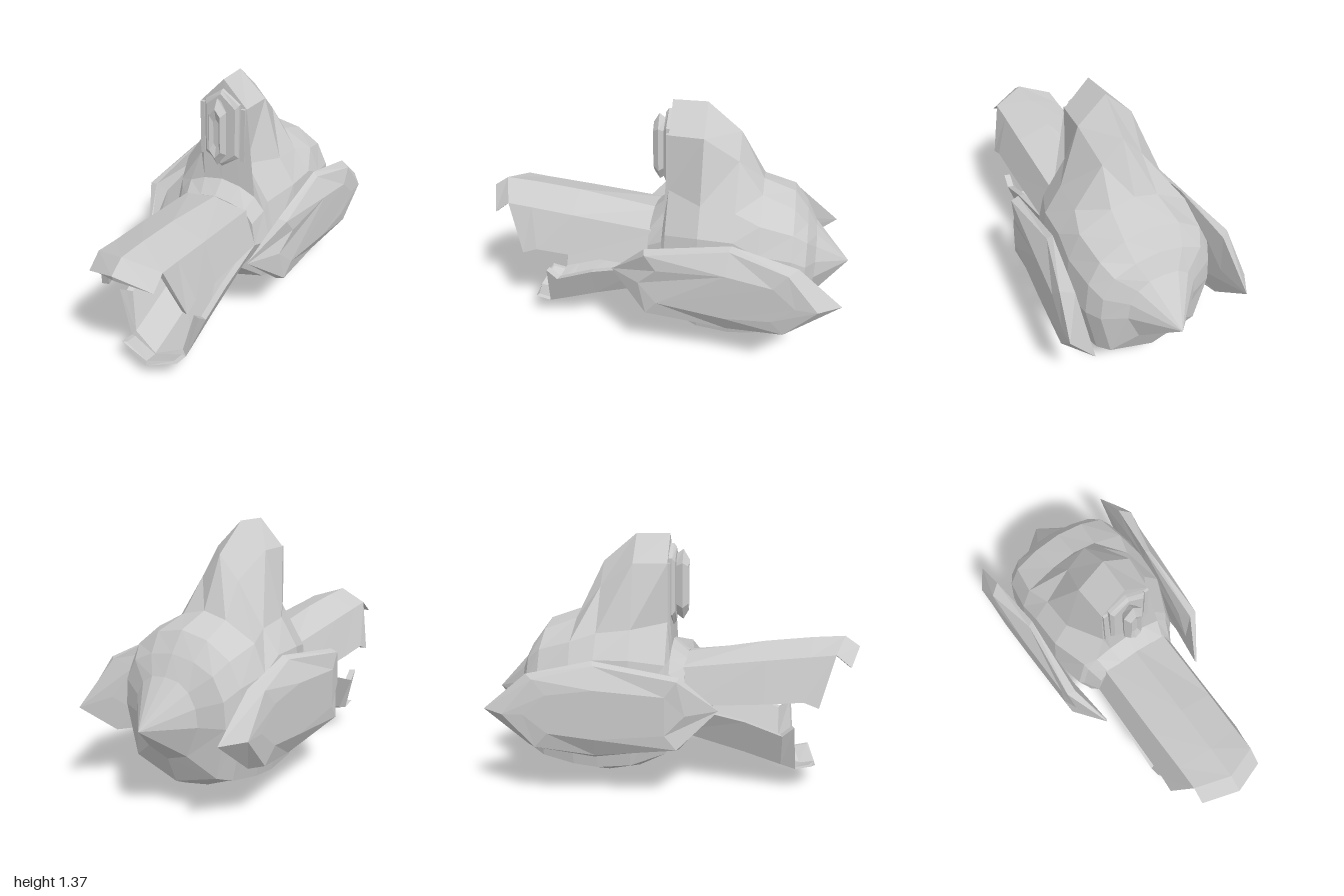
import * as THREE from 'three';

const material = new THREE.MeshStandardMaterial({ color: 0xcccccc, flatShading: true, side: THREE.DoubleSide });

function addMesh(parent, geometry, name) {
  const mesh = new THREE.Mesh(geometry, material);
  mesh.name = name;
  parent.add(mesh);
  return mesh;
}

// Skin between equal rings of [x, y, z], listed front to back, counter-clockwise from the front
function loft(rings) {
  const n = rings[0].length;
  const index = [];
  const quad = (a, b, c, d) => index.push(a, b, c, a, c, d);
  for (let i = 0; i < rings.length - 1; i++) {
    for (let j = 0; j < n; j++) {
      const k = (j + 1) % n;
      quad(i * n + j, (i + 1) * n + j, (i + 1) * n + k, i * n + k);
    }
  }
  const last = (rings.length - 1) * n;
  for (let j = 0; j < n / 2 - 1; j++) {
    quad(j, j + 1, n - 2 - j, n - 1 - j);
    quad(last + j, last + n - 1 - j, last + n - 2 - j, last + j + 1);
  }
  const geometry = new THREE.BufferGeometry();
  geometry.setAttribute('position', new THREE.Float32BufferAttribute(rings.flat(2), 3));
  geometry.setIndex(index);
  geometry.computeVertexNormals();
  return geometry;
}

// Body section: keel, low edge, flank, upper flank, shoulder, tower edge, crown
function section(z, keel, low, side, up, shoulder, edge, crown) {
  const half = [low, [side, 0.49], up, shoulder, edge];
  return [
    [0, keel, z],
    ...half.map(([x, y]) => [x, y, z]),
    [0, crown, z],
    ...half.map(([x, y]) => [-x, y, z]).reverse(),
  ];
}

// Thick channel from half rows (centre to rim); up = 1 opens downward, -1 opens upward
function shell(rows, up, thickness) {
  return loft(rows.map((row) => {
    const right = row.map(([x, y, z]) => [up * x, y, z]).reverse();
    const left = row.slice(1).map(([x, y, z]) => [-up * x, y, z]);
    const outer = [...right, ...left];
    const inner = outer.map(([x, y, z], i) => {
      const rim = i === 0 || i === outer.length - 1;
      return [x * 0.86, y - (rim ? 0 : up * thickness), z - 0.01];
    }).reverse();
    return [...outer, ...inner];
  }));
}

// Tall pointed hexagon around y = 1.1
function hexagon(w, shoulder, tip, z) {
  return [[0, -tip], [w, -shoulder], [w, shoulder], [0, tip], [-w, shoulder], [-w, -shoulder]]
    .map(([x, y]) => [x, 1.1 + y, z]);
}

// Closed eight-point loop for a side plate from its lower half [z, y, x]
function plateLoop(points) {
  const lower = points.map(([z, y, x]) => [x, y, z]);
  const upper = points.slice(1, -1).map(([z, y, x]) => [x, 1.005 - y, z]).reverse();
  return [...lower, ...upper];
}

export function createModel() {
  const model = new THREE.Group();
  const head = new THREE.Group();
  head.name = 'head';
  head.position.x = -0.012;
  model.add(head);

  // Body with tall crest, recessed mouth and pointed back
  const collar = section(0.08, 0.27, [0.16, 0.31], 0.25, [0.23, 0.62], [0.18, 0.69], [0.09, 0.715], 0.73);
  const inset = (z) => collar.map(([x, y]) => [x * 0.86, 0.49 + (y - 0.49) * 0.86, z]);
  const lastRing = section(-0.81, 0.29, [0.12, 0.33], 0.19, [0.18, 0.58], [0.14, 0.65], [0.08, 0.69], 0.7);
  addMesh(head, loft([
    inset(-0.06),
    inset(0.08),
    collar,
    section(0, 0.17, [0.23, 0.24], 0.3, [0.26, 0.67], [0.2, 0.74], [0.11, 0.78], 0.8),
    section(-0.02, 0.15, [0.25, 0.22], 0.32, [0.27, 0.72], [0.14, 0.92], [0.135, 1.23], 1.37),
    section(-0.2, 0.035, [0.3, 0.165], 0.365, [0.34, 0.76], [0.25, 0.9], [0.15, 1.23], 1.37),
    section(-0.38, 0, [0.31, 0.15], 0.375, [0.35, 0.76], [0.26, 0.88], [0.11, 1.1], 1.22),
    section(-0.51, 0.03, [0.31, 0.165], 0.38, [0.36, 0.7], [0.3, 0.84], [0.13, 0.93], 0.96),
    section(-0.68, 0.11, [0.29, 0.2], 0.355, [0.34, 0.67], [0.28, 0.79], [0.15, 0.87], 0.9),
    section(-0.755, 0.15, [0.25, 0.23], 0.31, [0.3, 0.62], [0.24, 0.73], [0.13, 0.78], 0.8),
    lastRing,
    lastRing.map(() => [0, 0.49, -1]),
  ]), 'body');

  // Upper jaw and its drooping lip
  addMesh(head, shell([
    [[0, 0.84, 0.92], [0.18, 0.78, 0.86], [0.25, 0.51, 0.78]],
    [[0, 0.828, 0.75], [0.18, 0.765, 0.73], [0.25, 0.54, 0.7]],
    [[0, 0.8, 0.5], [0.185, 0.74, 0.5], [0.25, 0.522, 0.5]],
    [[0, 0.72, 0.02], [0.19, 0.685, 0.02], [0.25, 0.495, 0.08]],
  ], 1, 0.03), 'upperJaw');
  addMesh(head, shell([
    [[0, 0.785, 1], [0.18, 0.715, 0.94]],
    [[0, 0.84, 0.92], [0.18, 0.78, 0.86]],
  ], 1, 0.03), 'upperLip');

  // Lower jaw with raised corner teeth, and its lip
  addMesh(head, shell([
    [[0, 0.07, 0.72], [0.17, 0.13, 0.68], [0.24, 0.395, 0.66]],
    [[0, 0.095, 0.62], [0.17, 0.155, 0.6], [0.245, 0.345, 0.6]],
    [[0, 0.16, 0.4], [0.17, 0.22, 0.4], [0.25, 0.42, 0.4]],
    [[0, 0.28, 0.03], [0.17, 0.325, 0.03], [0.25, 0.49, 0.08]],
  ], -1, 0.03), 'lowerJaw');
  addMesh(head, shell([
    [[0, 0.085, 0.8], [0.17, 0.15, 0.765]],
    [[0, 0.07, 0.72], [0.17, 0.13, 0.68]],
  ], -1, 0.025), 'lowerLip');

  // Faceted core deep in the mouth
  const core = addMesh(head, new THREE.SphereGeometry(0.19, 8, 6), 'mouthCore');
  core.rotation.set(Math.PI / 2, Math.PI / 8, 0, 'XYZ');
  core.position.set(0, 0.49, 0.05);

  // Layered crest ornament and the ribs beside it
  addMesh(head, loft([
    hexagon(0.085, 0.13, 0.2, 0.015),
    hexagon(0.1, 0.15, 0.22, 0),
    hexagon(0.1, 0.15, 0.22, -0.03),
  ]), 'crestBase');
  addMesh(head, loft([
    hexagon(0.015, 0.06, 0.08, 0.065),
    hexagon(0.032, 0.1, 0.14, 0.08),
    hexagon(0.052, 0.12, 0.19, 0.05),
    hexagon(0.035, 0.1, 0.16, 0.01),
  ]), 'crestOrnament');
  for (const s of [-1, 1]) {
    const rib = addMesh(head, new THREE.BoxGeometry(0.025, 0.3, 0.03), 'crestRib');
    rib.position.set(s * 0.12, 1.08, -0.02);
  }

  // Side plates: crowned outer face, bevel, rim, inner face
  const plate = [
    plateLoop([[0.1, 0.5, 0.43], [0, 0.4, 0.455], [-0.36, 0.37, 0.475], [-0.6, 0.4, 0.49], [-0.72, 0.5, 0.496]]),
    plateLoop([[0.265, 0.5, 0.33], [0.06, 0.32, 0.445], [-0.37, 0.26, 0.415], [-0.67, 0.32, 0.48], [-0.83, 0.5, 0.5]]),
    plateLoop([[0.255, 0.5, 0.325], [0.07, 0.31, 0.4], [-0.38, 0.24, 0.387], [-0.72, 0.31, 0.42], [-0.95, 0.5, 0.425]]),
    plateLoop([[0.1, 0.5, 0.365], [0, 0.38, 0.375], [-0.38, 0.34, 0.385], [-0.6, 0.38, 0.4], [-0.75, 0.5, 0.41]]),
  ];
  // The left plate toes in slightly more than the right one
  addMesh(model, loft(plate.map((ring) => ring.map(([x, y, z]) => [x - 0.04 * (z + 0.83) / 1.09, y, z]))), 'leftPlate');
  addMesh(model, loft(plate.map((ring) => ring.map(([x, y, z]) => [-x, y, z]).reverse())), 'rightPlate');

  return model;
}
